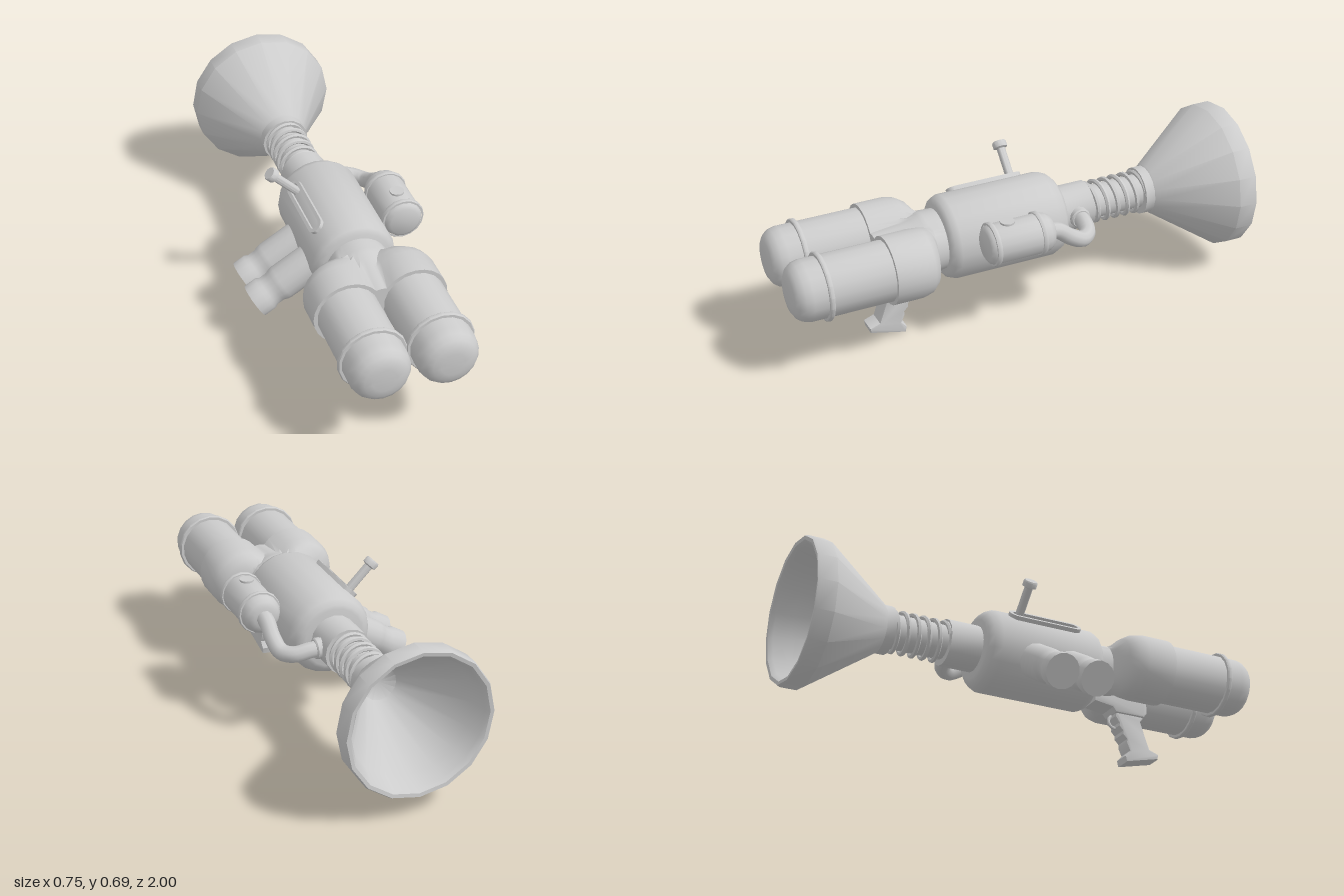
import * as THREE from 'three';
import { toCreasedNormals } from 'three/addons/utils/BufferGeometryUtils.js';

const AX = 0.04, AY = 0.39; // main barrel axis
const V = (x, y, z) => new THREE.Vector3(x, y, z);
const UP = V(0, 1, 0);

export function createModel() {
  const model = new THREE.Group();
  const material = new THREE.MeshStandardMaterial({ color: 0xcccccc });

  const add = (name, geometry, x = 0, y = 0, z = 0) => {
    const mesh = new THREE.Mesh(toCreasedNormals(geometry, 0.7), material);
    mesh.name = name;
    mesh.position.set(x, y, z);
    model.add(mesh);
    return mesh;
  };
  // Profile points are [position along axis, radius]
  const lathe = (profile, sides) =>
    new THREE.LatheGeometry(profile.map(([t, r]) => new THREE.Vector2(r, t)), sides);
  const turned = (name, profile, x = AX, y = AY, sides = 16) =>
    add(name, lathe(profile, sides).rotateX(Math.PI / 2), x, y);
  const aimed = (name, profile, origin, direction, sides = 16) => {
    const mesh = add(name, lathe(profile, sides), origin.x, origin.y, origin.z);
    mesh.quaternion.setFromUnitVectors(UP, direction);
    return mesh;
  };
  // Side outline of [z, y] points, extruded across x with a bevel
  const slab = (name, points, width, bevel) => {
    const shape = new THREE.Shape(points.map(([z, y]) => new THREE.Vector2(z, y)));
    const depth = width - 2 * bevel;
    const geometry = new THREE.ExtrudeGeometry(shape, {
      depth, bevelThickness: bevel, bevelSize: bevel, bevelOffset: -bevel, bevelSegments: 2,
    });
    geometry.translate(0, 0, -depth / 2).rotateY(-Math.PI / 2);
    return add(name, geometry, AX);
  };

  // Flared horn with a thick rim and hollow inside
  turned('horn', [[-0.62, 0], [-0.64, 0.07], [-0.91, 0.255], [-0.98, 0.272], [-0.998, 0.285],
    [-1, 0.3], [-0.99, 0.305], [-0.92, 0.305], [-0.635, 0.105], [-0.63, 0.1], [-0.59, 0.1], [-0.59, 0]]);

  // Barrel, coil and main body
  turned('barrel', [[-0.61, 0.072], [-0.33, 0.072]]);
  class Helix extends THREE.Curve {
    getPoint(t, target = V(0, 0, 0)) {
      const a = t * Math.PI * 11;
      return target.set(AX + 0.082 * Math.cos(a), AY + 0.082 * Math.sin(a), -0.6 + 0.25 * t);
    }
  }
  add('coil', new THREE.TubeGeometry(new Helix(), 130, 0.01, 6));
  turned('barrelCollar', [[-0.35, 0], [-0.35, 0.098], [-0.19, 0.098]]);
  turned('body', [[-0.21, 0], [-0.21, 0.125], [-0.205, 0.14], [-0.188, 0.16], [-0.155, 0.175],
    [0.28, 0.175], [0.305, 0.165], [0.32, 0.145], [0.32, 0]], AX, AY, 20);

  // Twin manifold: a round neck that spreads into two joined lobes.
  // Each section: z, lobe offset, lobe radius, radius of the web between the lobes
  const sections = [[0.3, 0, 0.125, 0.125], [0.37, 0.025, 0.115, 0.125], [0.38, 0.085, 0.092, 0.125],
    [0.4, 0.115, 0.118, 0.12], [0.43, 0.13, 0.133, 0.11], [0.47, 0.136, 0.14, 0.1],
    [0.595, 0.136, 0.14, 0.085], [0.595, 0, 0, 0]];
  const N = 48, positions = [], index = [];
  sections.forEach(([z, d, r, web], i) => {
    for (let j = 0; j < N; j++) {
      const a = (j / N) * Math.PI * 2, s = d * Math.sin(a);
      const radius = Math.max(web, d * Math.abs(Math.cos(a)) + Math.sqrt(Math.max(0, r * r - s * s)));
      positions.push(AX + radius * Math.cos(a), AY + radius * Math.sin(a), z);
      if (i === 0) continue;
      const k = (j + 1) % N, p = (i - 1) * N, q = i * N;
      index.push(p + j, p + k, q + k, p + j, q + k, q + j);
    }
  });
  const manifold = new THREE.BufferGeometry();
  manifold.setAttribute('position', new THREE.Float32BufferAttribute(positions, 3));
  manifold.setIndex(index);
  add('manifold', manifold);

  // Twin front tanks with bands
  for (const [side, s] of [['left', 1], ['right', -1]]) {
    const x = AX + s * 0.136;
    turned(side + 'Tank', [[0.57, 0.125], [0.93, 0.125], [0.96, 0.118], [0.982, 0.102],
      [0.995, 0.08], [1, 0.05], [1, 0]], x, AY, 18);
    turned(side + 'TankBand', [[0.852, 0.12], [0.852, 0.136], [0.857, 0.14], [0.867, 0.14],
      [0.872, 0.136], [0.872, 0.12]], x, AY, 18);
  }

  // Side reservoir with bands, filler cap and feed pipe
  const RX = 0.283, RY = 0.464;
  turned('reservoir', [[-0.075, 0], [-0.075, 0.045], [-0.065, 0.065], [-0.045, 0.078], [-0.015, 0.083],
    [0.185, 0.083], [0.205, 0.075], [0.215, 0.06], [0.215, 0]], RX, RY);
  for (const z of [-0.012, 0.187]) {
    turned('reservoirBand', [[z - 0.01, 0.08], [z - 0.01, 0.088], [z - 0.005, 0.091],
      [z + 0.005, 0.091], [z + 0.01, 0.088], [z + 0.01, 0.08]], RX, RY);
  }
  aimed('fillerCap', [[0, 0.022], [0.083, 0.022], [0.083, 0.03], [0.091, 0.03], [0.091, 0]],
    V(RX, RY, 0.12), UP, 12);
  const pipe = new THREE.CatmullRomCurve3([V(RX, RY, -0.05), V(RX, 0.455, -0.1), V(RX, 0.41, -0.16),
    V(0.272, 0.378, -0.22), V(0.235, 0.378, -0.262), V(0.18, 0.39, -0.275), V(0.1, 0.395, -0.275)]);
  add('feedPipe', new THREE.TubeGeometry(pipe, 28, 0.034, 10));
  aimed('pipeFlange', [[0, 0.043], [0.03, 0.043], [0.035, 0.038], [0.035, 0]],
    V(0.12, 0.393, -0.275), V(1, 0, 0), 12);

  // Pair of canisters leaning out and down on the right
  const out = V(-0.857, -0.515, 0).normalize();
  for (const z of [0.003, 0.16]) {
    aimed('canister', [[0, 0.074], [0.19, 0.074], [0.21, 0.071], [0.225, 0.065], [0.258, 0.065],
      [0.272, 0.073], [0.325, 0.073], [0.325, 0]], V(-0.06, 0.345, z), out);
  }

  // Slotted plate and cocking lever on the upper right
  const lift = V(-1, 1, 0).normalize(), across = V(1, 1, 0).normalize();
  const capsule = (path, halfWidth, halfLength) => path
    .absarc(0, halfLength - halfWidth, halfWidth, 0, Math.PI)
    .absarc(0, halfWidth - halfLength, halfWidth, Math.PI, Math.PI * 2)
    .closePath();
  const slot = capsule(new THREE.Shape(), 0.034, 0.165);
  slot.holes.push(capsule(new THREE.Path(), 0.02, 0.148));
  const plate = add('leverSlot', new THREE.ExtrudeGeometry(slot,
    { depth: 0.022, bevelEnabled: false, curveSegments: 6 }));
  plate.quaternion.setFromRotationMatrix(new THREE.Matrix4().makeBasis(across, V(0, 0, -1), lift));
  plate.position.set(AX, AY, 0.055).addScaledVector(lift, 0.166);
  aimed('lever', [[0.15, 0.018], [0.305, 0.018], [0.31, 0.03], [0.332, 0.03], [0.337, 0.026], [0.337, 0]],
    V(AX, AY, -0.065), lift, 12);

  // Pistol grip, mount and trigger guard
  slab('gripMount', [[0.58, 0.235], [0.565, 0.215], [0.43, 0.215], [0.415, 0.235], [0.33, 0.248],
    [0.33, 0.29], [0.42, 0.33], [0.58, 0.33]], 0.1, 0.01);
  slab('grip', [[0.575, 0.225], [0.552, 0.195], [0.572, 0.135], [0.592, 0.078], [0.635, 0.062], [0.632, 0.04],
    [0.48, 0.003], [0.475, 0.03], [0.497, 0.055], [0.482, 0.09], [0.484, 0.105], [0.465, 0.125],
    [0.466, 0.14], [0.448, 0.16], [0.45, 0.175], [0.432, 0.2], [0.435, 0.225]], 0.08, 0.008);
  const guard = new THREE.TorusGeometry(0.027, 0.007, 8, 18).rotateY(Math.PI / 2);
  add('triggerGuard', guard, AX, 0.188, 0.445);

  return model;
}
